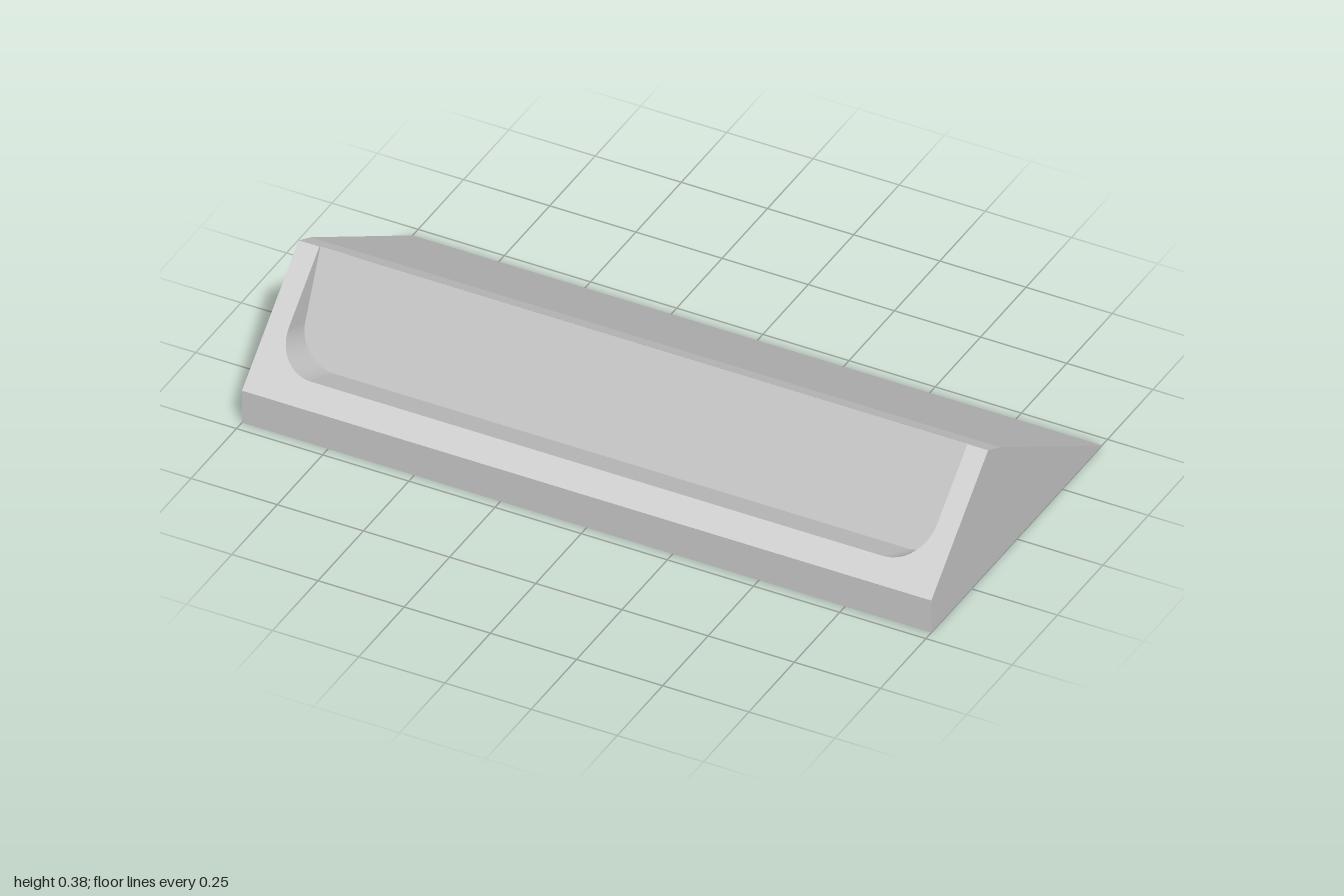
import * as THREE from 'three';

const TOP = 0.312;    // height of the recess, measured along its back wall
const HALF = 0.94;    // half width of the recess
const RADIUS = 0.11;  // lower corner radius

// (x, h) on the sloping front face, and on the sunken wall behind it
const onFront = (x, h) => [x, 0.15 + 0.729 * h, 0.414 - 0.823 * h];
const onWall = (x, h) => [x, 0.09 + 0.912 * h, 0.28 - 0.41 * h];
const peak = onFront(0, TOP);
const wallTop = onWall(0, TOP);
const backEdge = [0, 0.345, 0.09];

// U-shaped recess outline, from upper left round to upper right
function recessPath() {
  const pts = [[-HALF, TOP]];
  for (const side of [-1, 1]) {
    for (let i = 0; i <= 12; i++) {
      const a = Math.PI * (side < 0 ? 1 : 1.5) + (i / 12) * Math.PI / 2;
      pts.push([side * (HALF - RADIUS) + RADIUS * Math.cos(a), RADIUS + RADIUS * Math.sin(a)]);
    }
  }
  pts.push([HALF, TOP]);
  return pts;
}

// Flat panel: a 2D outline placed in space by a mapping rule
function panel(name, points, map, material) {
  const geo = new THREE.ShapeGeometry(new THREE.Shape(points.map(p => new THREE.Vector2(...p))));
  const pos = geo.attributes.position;
  for (let i = 0; i < pos.count; i++) pos.setXYZ(i, ...map(pos.getX(i), pos.getY(i)));
  geo.computeVertexNormals();
  const mesh = new THREE.Mesh(geo, material);
  mesh.name = name;
  return mesh;
}

export function createModel() {
  const group = new THREE.Group();
  group.name = 'wedgeStand';
  const grey = new THREE.MeshStandardMaterial({ color: 0xcccccc });
  grey.name = 'light grey';
  const add = (name, pts, map) => group.add(panel(name, pts, map, grey));
  const path = recessPath();

  // Front frame around the recess, and the wall inside it
  add('frontFrame', [[-1, TOP], [-1, -0.068], [1, -0.068], [1, TOP], ...[...path].reverse()], onFront);
  add('recessWall', path, onWall);

  // Floor and rounded sides of the recess
  const verts = [], index = [];
  path.forEach(([x, h], i) => {
    verts.push(...onFront(x, h), ...onWall(x, h));
    if (i) {
      const a = 2 * (i - 1), b = 2 * i;
      index.push(a, b, b + 1, a, b + 1, a + 1);
    }
  });
  const rim = new THREE.BufferGeometry();
  rim.setAttribute('position', new THREE.Float32BufferAttribute(verts, 3));
  rim.setIndex(index);
  rim.computeVertexNormals();
  const rimMesh = new THREE.Mesh(rim, grey);
  rimMesh.name = 'recessSides';
  group.add(rimMesh);

  // Narrow ridge bevel, notched where the recess runs out at the top
  const slope = (peak[1] - backEdge[1]) / (peak[2] - backEdge[2]);
  add('ridgeBevel', [
    [-1, -peak[2]], [-HALF, -peak[2]], [-HALF, -wallTop[2]], [HALF, -wallTop[2]],
    [HALF, -peak[2]], [1, -peak[2]], [1, -backEdge[2]], [-1, -backEdge[2]],
  ], (x, d) => [x, backEdge[1] + (-d - backEdge[2]) * slope, -d]);

  // Full-width back slope, base and front lip
  const strip = [[-1, 0], [1, 0], [1, 1], [-1, 1]];
  add('backSlope', strip, (x, t) => [x, 0.345 * (1 - t), 0.09 - 0.56 * t]);
  add('base', strip, (x, t) => [x, 0, -0.47 + 0.94 * t]);
  add('frontLip', strip, (x, t) => [x, 0.1 * t, 0.47]);

  // End caps
  const profile = [[0.47, 0], [0.47, 0.1], [peak[2], peak[1]], [backEdge[2], backEdge[1]], [-0.47, 0]];
  add('leftEnd', profile.map(([z, y]) => [-z, y]), (a, y) => [1, y, -a]);
  add('rightEnd', profile, (z, y) => [-1, y, z]);

  return group;
}
